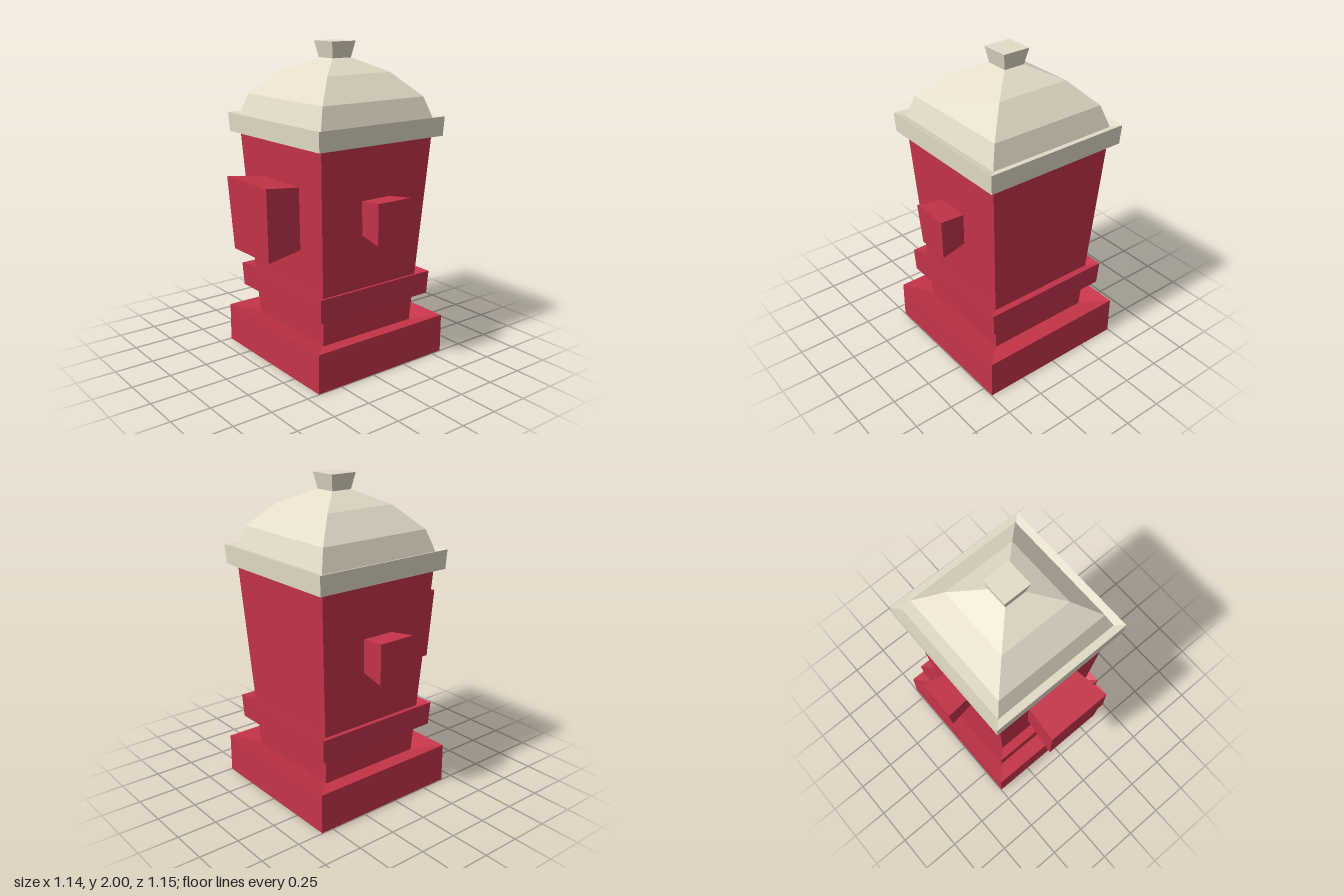
import * as THREE from 'three';

const red = new THREE.MeshStandardMaterial({ color: 0xc6344a, flatShading: true });
const cream = new THREE.MeshStandardMaterial({ color: 0xe4dcc8, flatShading: true });

function addMesh(parent, name, geometry, material) {
  const mesh = new THREE.Mesh(geometry, material);
  mesh.name = name;
  parent.add(mesh);
  return mesh;
}

// Square block whose rows of vertices follow a [halfWidth, y] profile from bottom to top
function squareStack(profile) {
  const rows = profile.length - 1;
  const geo = new THREE.BoxGeometry(2, rows, 2, 1, rows, 1);
  const p = geo.attributes.position;
  for (let i = 0; i < p.count; i++) {
    const [half, y] = profile[Math.round(p.getY(i) + rows / 2)];
    p.setXYZ(i, p.getX(i) * half, y, p.getZ(i) * half);
  }
  geo.computeVertexNormals();
  return geo.toNonIndexed();
}

// Outlet that flares outward along +z; each corner set is { z, y, half }
function flaredOutlet(inner, outer) {
  const geo = new THREE.BoxGeometry(2, 2, 2);
  const p = geo.attributes.position;
  for (let i = 0; i < p.count; i++) {
    const end = p.getZ(i) > 0 ? outer : inner;
    const c = p.getY(i) > 0 ? end.top : end.bottom;
    p.setXYZ(i, p.getX(i) * c.half, c.y, c.z);
  }
  geo.computeVertexNormals();
  return geo.toNonIndexed();
}

export function createModel() {
  const model = new THREE.Group();
  model.name = 'hydrant';

  // Everything is centred on the body's axis, set slightly back
  const body = new THREE.Group();
  body.name = 'hydrantBody';
  body.position.z = -0.08;
  model.add(body);

  // Red base with hollowed underside, tapered barrel and band; ledges dip inward
  addMesh(body, 'base', squareStack([[0.33, 0.08], [0.497, 0], [0.497, 0.25], [0.345, 0.21]]), red);
  addMesh(body, 'barrel', squareStack([[0.349, 0.2], [0.426, 1.45]]), red);
  addMesh(body, 'band', squareStack([[0.355, 0.42], [0.425, 0.4], [0.433, 0.55], [0.365, 0.525]]), red);

  // Cream rim, faceted dome and knob
  addMesh(body, 'rim', squareStack([[0.42, 1.445], [0.474, 1.43], [0.48, 1.55], [0.428, 1.535]]), cream);
  addMesh(body, 'dome', squareStack([[0.43, 1.535], [0.385, 1.67], [0.24, 1.815], [0.07, 1.9]]), cream);
  addMesh(body, 'knob', squareStack([[0.07, 1.9], [0.09, 2]]), cream);

  // Large front outlet
  addMesh(body, 'frontOutlet', flaredOutlet(
    { top: { z: 0.36, y: 1.17, half: 0.181 }, bottom: { z: 0.35, y: 0.785, half: 0.16 } },
    { top: { z: 0.655, y: 1.207, half: 0.215 }, bottom: { z: 0.63, y: 0.75, half: 0.19 } }
  ), red);

  // Small outlets on both sides
  for (const side of [1, -1]) {
    const outlet = addMesh(body, side > 0 ? 'leftOutlet' : 'rightOutlet', flaredOutlet(
      { top: { z: 0.34, y: 1.083, half: 0.1 }, bottom: { z: 0.33, y: 0.883, half: 0.085 } },
      { top: { z: 0.572, y: 1.11, half: 0.125 }, bottom: { z: 0.555, y: 0.847, half: 0.108 } }
    ), red);
    outlet.rotation.y = side * Math.PI / 2;
  }

  return model;
}
